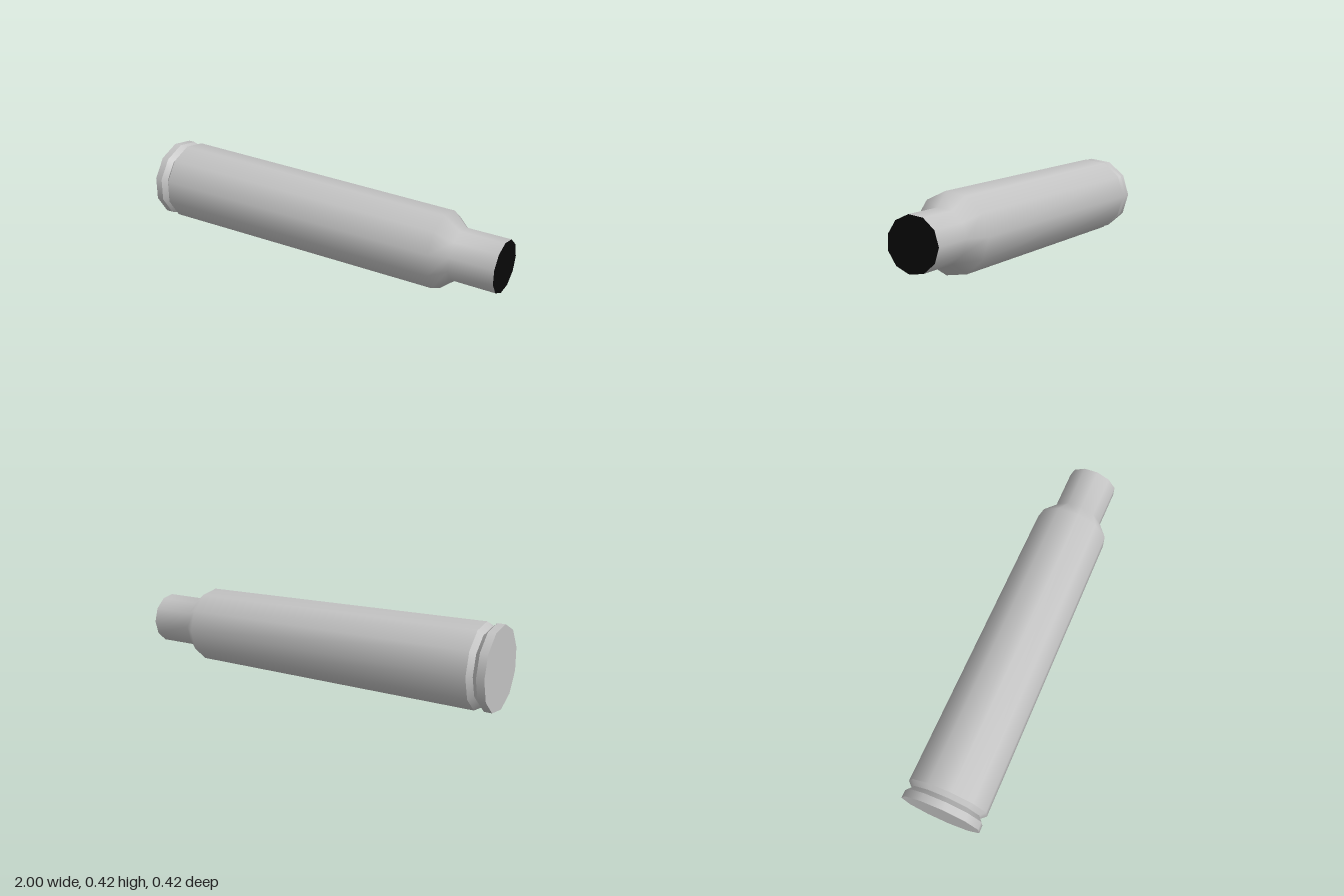
import * as THREE from 'three';

const SIDES = 11;

export function createModel() {
  const model = new THREE.Group();
  const metal = new THREE.MeshStandardMaterial({ name: 'grey metal', color: 0xc4c4c4 });
  const dark = new THREE.MeshStandardMaterial({ name: 'black opening', color: 0x080808 });

  const add = (name, geometry, material) => {
    const mesh = new THREE.Mesh(geometry, material);
    mesh.name = name;
    mesh.position.set(0, 0.2122, 0.0043);
    model.add(mesh);
  };

  // Turned section along x, from [x, radius] pairs, with one corner towards -z
  const turned = (profile) => new THREE.LatheGeometry(
    profile.map(([x, r]) => new THREE.Vector2(r, x)), SIDES, Math.PI,
  ).rotateZ(-Math.PI / 2);

  // Flat end disc, its corners matching the turned sections
  const disc = (x, r, side) => new THREE.CircleGeometry(r, SIDES, side > 0 ? 0 : Math.PI)
    .rotateY(side * Math.PI / 2).translate(x, 0, 0);

  // Separate sections keep the rim and groove edges sharp
  add('base', disc(-1, 0.212, -1), metal);
  add('rim', turned([[-1, 0.212], [-0.96, 0.212]]), metal);
  add('grooveRear', turned([[-0.96, 0.212], [-0.935, 0.188]]), metal);
  add('grooveFront', turned([[-0.935, 0.188], [-0.91, 0.2143]]), metal);

  // Tapered body flowing through the shoulder into the neck
  add('body', turned([[-0.91, 0.2143], [0.69, 0.198], [0.77, 0.133], [1, 0.133]]), metal);
  add('mouth', disc(1, 0.133, 1), dark);

  return model;
}
